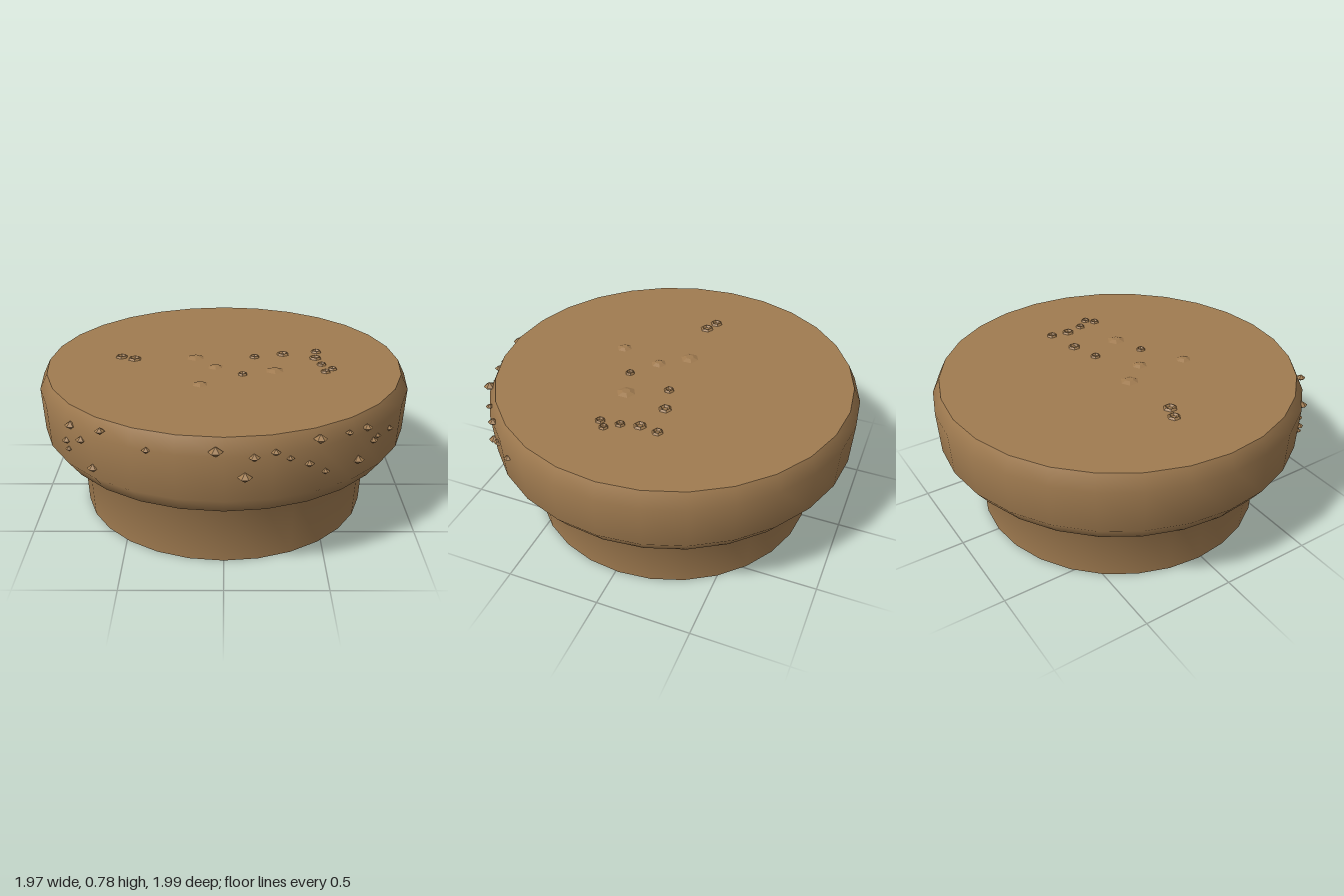
import * as THREE from 'three';

const clay = new THREE.MeshStandardMaterial({ color: 0xa07b50 });
clay.name = 'brown clay';

const CENTRE_Z = -0.015, SIDES = 28, TOP_Y = 0.77;

// Separate the faces so each facet is lit flat
function faceted(geometry) {
  const flat = geometry.toNonIndexed();
  flat.computeVertexNormals();
  return flat;
}

export function createModel() {
  const model = new THREE.Group();
  model.name = 'pedestal';
  const add = (parent, name, geometry, x, y, z) => {
    const mesh = new THREE.Mesh(geometry, clay);
    mesh.name = name;
    mesh.position.set(x, y, z);
    parent.add(mesh);
    return mesh;
  };
  const addGroup = (name) => {
    const group = new THREE.Group();
    group.name = name;
    model.add(group);
    return group;
  };

  // Smooth turned wall: narrow foot, flared underside, rounded rim
  const profile = [
    [0.775, 0], [0.79, 0.35], [0.91, 0.37], [0.975, 0.46], [0.985, 0.69], [0.945, TOP_Y],
  ].map(([r, y]) => new THREE.Vector2(r, y));
  add(model, 'wall', new THREE.LatheGeometry(profile, SIDES), 0, 0, CENTRE_Z);

  // Flat top and bottom
  add(model, 'topFace', new THREE.CircleGeometry(0.945, SIDES).rotateX(-Math.PI / 2), 0, TOP_Y, CENTRE_Z);
  add(model, 'bottomFace', new THREE.CircleGeometry(0.775, SIDES).rotateX(Math.PI / 2), 0, 0, CENTRE_Z);

  // Pebbles set into the front of the rim: x, y, radius
  const pebble = faceted(new THREE.SphereGeometry(1, 6, 2));
  const pebbles = addGroup('rimPebbles');
  [
    [-0.725, 0.69, 0.03], [-0.67, 0.64, 0.028], [-0.757, 0.592, 0.026], [-0.747, 0.552, 0.019],
    [-0.615, 0.516, 0.029], [-0.565, 0.728, 0.025], [-0.345, 0.69, 0.022], [-0.035, 0.715, 0.035],
    [0.095, 0.585, 0.034], [0.135, 0.682, 0.027], [0.23, 0.699, 0.024], [0.296, 0.66, 0.02],
    [0.385, 0.616, 0.024], [0.433, 0.729, 0.033], [0.465, 0.556, 0.021], [0.576, 0.717, 0.02],
    [0.63, 0.556, 0.032], [0.67, 0.706, 0.027], [0.71, 0.62, 0.024], [0.733, 0.633, 0.019],
    [0.807, 0.626, 0.022],
  ].forEach(([x, y, r]) => {
    const z = CENTRE_Z + Math.sqrt(0.978 ** 2 - x * x);
    add(pebbles, 'pebble', pebble, x, y, z).scale.set(r, r * 0.72, r);
  });

  // Six-sided rings half sunk in the top: x, z, outer radius
  const ring = faceted(new THREE.TorusGeometry(0.7, 0.3, 4, 6).rotateX(-Math.PI / 2).rotateY(Math.PI / 6));
  const rings = addGroup('topRings');
  [
    [-0.56, -0.053, 0.034], [-0.485, -0.022, 0.037], [0.167, -0.053, 0.028], [0.324, -0.096, 0.035],
    [0.512, -0.134, 0.03], [0.498, -0.036, 0.034], [0.522, 0.06, 0.027], [0.573, 0.125, 0.025],
    [0.532, 0.163, 0.027], [0.097, 0.2, 0.026],
  ].forEach(([x, z, r]) => add(rings, 'ring', ring, x, TOP_Y, z).scale.set(r, 0.033, r));

  // Shallow six-sided mounds on the top: x, z, radius
  const mound = faceted(new THREE.CylinderGeometry(0.4, 1, 1, 6, 1));
  const mounds = addGroup('topMounds');
  [
    [-0.155, -0.043, 0.055], [-0.045, 0.095, 0.046], [0.267, 0.145, 0.056], [-0.12, 0.332, 0.046],
  ].forEach(([x, z, r]) => add(mounds, 'mound', mound, x, TOP_Y + 0.004, z).scale.set(r, 0.012, r));

  return model;
}
